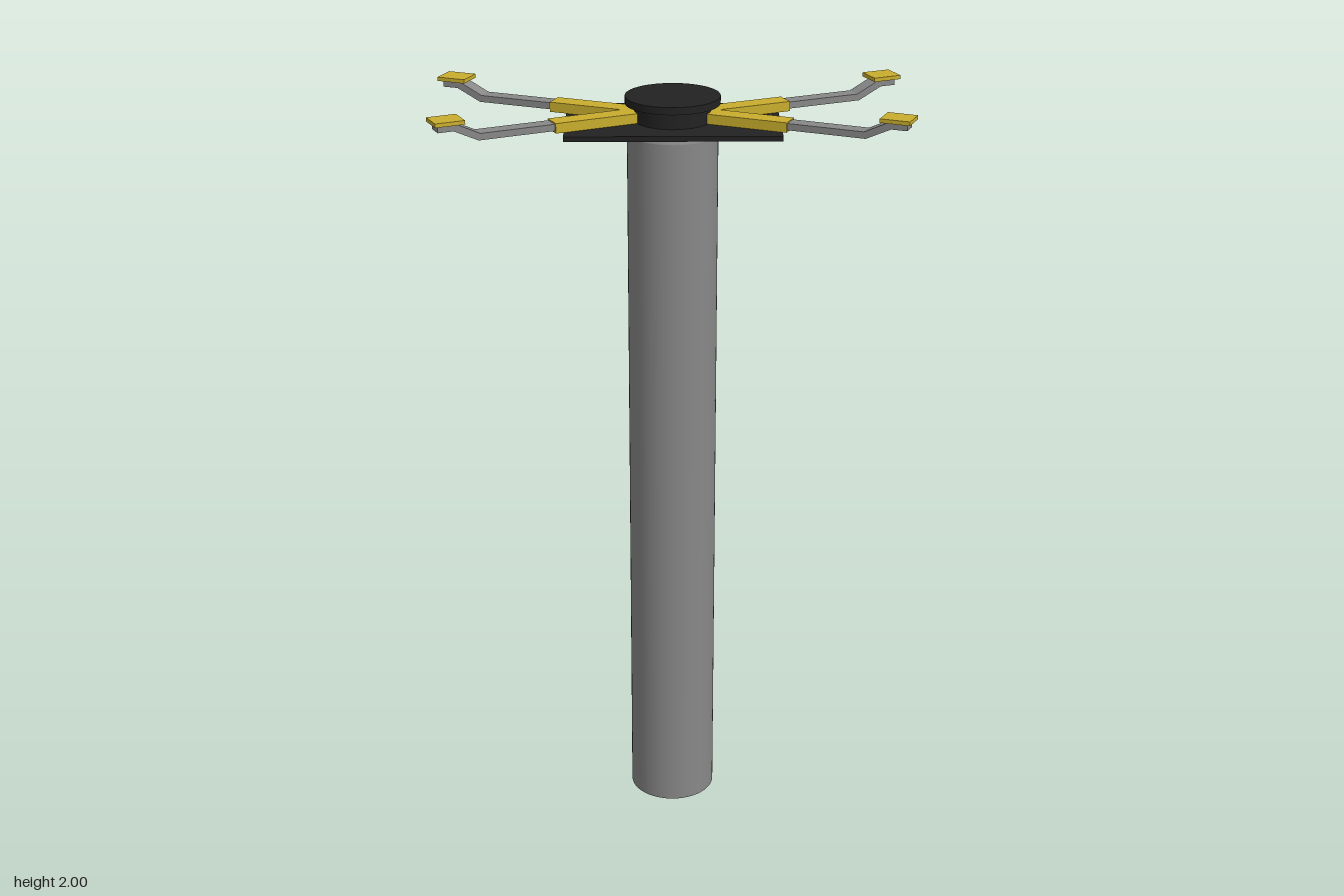
import * as THREE from 'three';

const mat = (name, color, side = THREE.FrontSide) => {
  const m = new THREE.MeshStandardMaterial({ color, side });
  m.name = name;
  return m;
};

export function createModel() {
  const steel = mat('steel grey', 0x888888);
  const tubeSteel = mat('steel grey tube', 0x888888, THREE.DoubleSide);
  const black = mat('black', 0x222222);
  const yellow = mat('safety yellow', 0xc9ae2d);

  const root = new THREE.Group();
  root.name = 'liftPost';
  const add = (parent, name, geometry, material, x = 0, y = 0, z = 0) => {
    const mesh = new THREE.Mesh(geometry, material);
    mesh.name = name;
    mesh.position.set(x, y, z);
    parent.add(mesh);
    return mesh;
  };
  const CX = 0.005, CZ = -0.008;

  // Hollow column, open at the foot, with a softened closed top
  const wall = new THREE.CylinderGeometry(0.115, 0.115, 1.905, 48, 1, true);
  add(root, 'column', wall, tubeSteel, CX, 0.9525, CZ + 0.003);
  const rim = new THREE.LatheGeometry([
    [0.115, 1.905], [0.113, 1.912], [0.108, 1.918], [0.1, 1.92], [0, 1.92],
  ].map(([r, y]) => new THREE.Vector2(r, y)), 48);
  add(root, 'columnTop', rim, tubeSteel, CX, 0, CZ + 0.003);

  // Carrier plate, hub and cap
  add(root, 'carrierPlate', new THREE.BoxGeometry(0.538, 0.013, 0.314), black, CX, 1.9315, CZ);
  add(root, 'hub', new THREE.CylinderGeometry(0.096, 0.096, 0.046, 48), black, CX, 1.96, CZ);
  add(root, 'hubCap', new THREE.CylinderGeometry(0.12, 0.12, 0.019, 48), black, CX, 1.9905, CZ);

  // Extends a side profile of the arm (along, height) to a given width
  const strip = (points, width) => {
    const shape = new THREE.Shape(points.map(([s, y]) => new THREE.Vector2(s, y)));
    const g = new THREE.ExtrudeGeometry(shape, { depth: width, bevelEnabled: false });
    g.translate(0, 0, -width / 2);
    return g;
  };

  // Four arms: sleeve end and pad centre as [x, z]
  const arms = [
    ['backLeftArm', [0.293, -0.108], [0.547, -0.217]],
    ['frontLeftArm', [0.293, 0.094], [0.547, 0.202]],
    ['backRightArm', [-0.296, -0.107], [-0.55, -0.21]],
    ['frontRightArm', [-0.293, 0.096], [-0.542, 0.209]],
  ];
  for (const [name, end, pad] of arms) {
    const dx = pad[0] - end[0], dz = pad[1] - end[1];
    const reach = Math.hypot(dx, dz);
    const arm = new THREE.Group();
    arm.name = name;
    arm.position.set(end[0], 0, end[1]);
    arm.rotation.y = Math.atan2(-dz, dx);
    root.add(arm);

    // Yellow sleeve, running in under the cap
    add(arm, 'sleeve', new THREE.BoxGeometry(0.24, 0.025, 0.052), yellow, -0.12, 1.9505, 0);

    // Sliding rod with a raised end
    const rod = strip([
      [-0.01, 1.943], [reach - 0.075, 1.943], [reach - 0.012, 1.973], [reach + 0.028, 1.973],
      [reach + 0.028, 1.99], [reach - 0.018, 1.99], [reach - 0.08, 1.96], [-0.01, 1.96],
    ], 0.041);
    add(arm, 'rod', rod, steel);

    // Lifting pad
    add(arm, 'pad', new THREE.BoxGeometry(0.076, 0.01, 0.066), yellow, reach, 1.995, 0);
  }
  return root;
}
